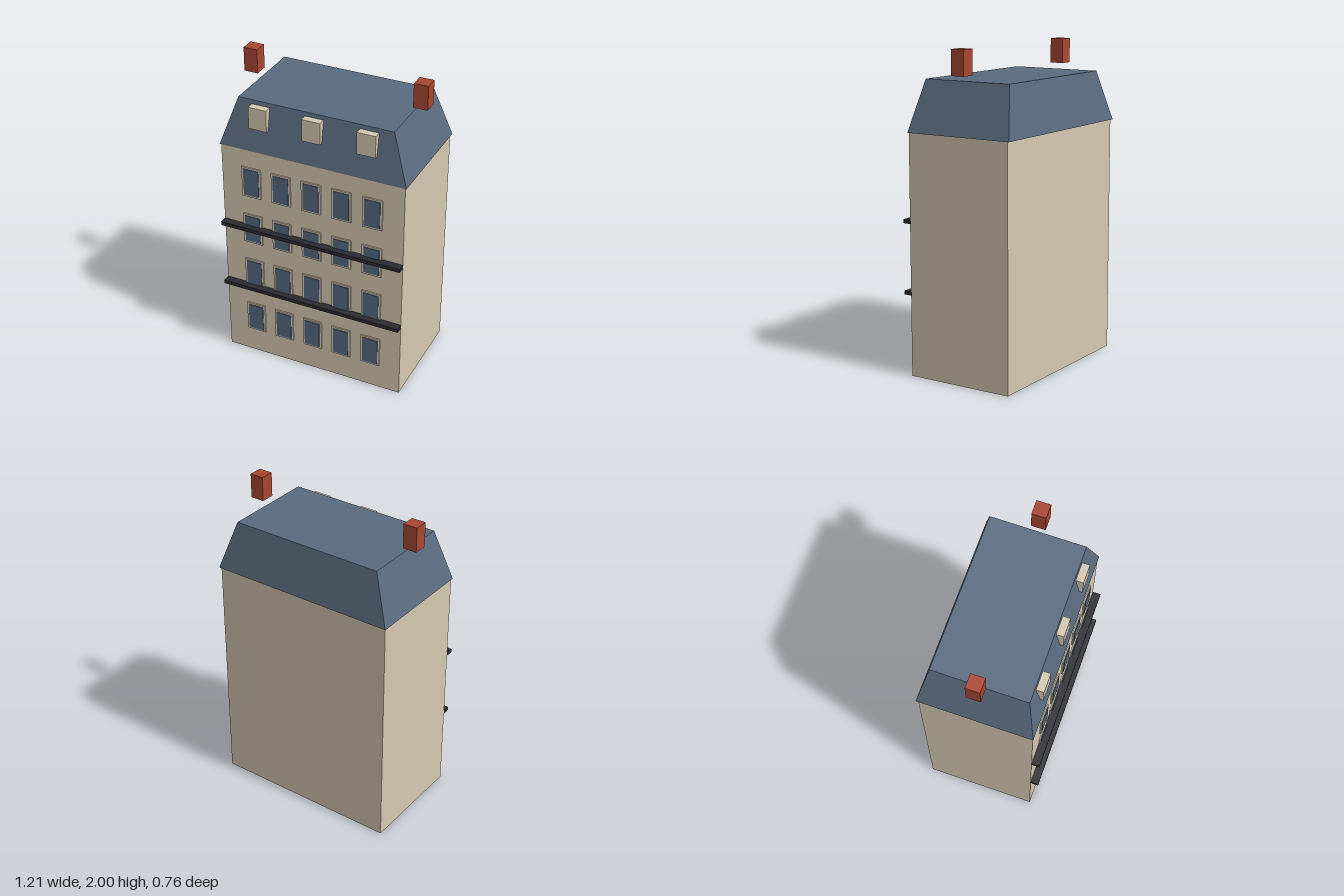
import * as THREE from 'three';

const material = (name, color) => {
  const m = new THREE.MeshStandardMaterial({ color });
  m.name = name;
  return m;
};

export function createModel() {
  const stone = material('stone', 0xd4c8b0);
  const slate = material('slate', 0x5a6b7f);
  const glass = material('glass', 0x546880);
  const brick = material('brick', 0xa84632);
  const iron = material('iron', 0x2b2a30);

  const model = new THREE.Group();
  model.name = 'townhouse';

  // Box given by its lower and upper limits on each axis
  const addBox = (name, mat, [x0, x1], [y0, y1], [z0, z1], parent = model) => {
    const mesh = new THREE.Mesh(new THREE.BoxGeometry(x1 - x0, y1 - y0, z1 - z0), mat);
    mesh.position.set((x0 + x1) / 2, (y0 + y1) / 2, (z0 + z1) / 2);
    mesh.name = name;
    parent.add(mesh);
    return mesh;
  };

  const wallZ = 0.329;
  addBox('walls', stone, [-0.597, 0.597], [0, 1.497], [-0.367, wallZ]);

  // Mansard roof: a box whose upper corners are drawn in
  const roof = addBox('mansardRoof', slate, [-0.605, 0.605], [1.497, 1.81], [-0.379, 0.334]);
  const corners = roof.geometry.attributes.position;
  for (let i = 0; i < corners.count; i++) {
    if (corners.getY(i) > 0) {
      corners.setX(i, Math.sign(corners.getX(i)) * 0.498);
      corners.setZ(i, (corners.getZ(i) > 0 ? 0.273 : -0.316) - roof.position.z);
    }
  }
  roof.geometry.computeVertexNormals();

  // Windows: raised stone surround with a thin pane on top
  for (const y of [0.272, 0.612, 0.945, 1.277]) {
    for (let column = -2; column <= 2; column++) {
      const x = column * 0.199;
      const group = new THREE.Group();
      group.name = 'window';
      addBox('windowSurround', stone, [x - 0.064, x + 0.064], [y - 0.102, y + 0.102], [wallZ - 0.01, 0.337], group);
      addBox('windowPane', glass, [x - 0.051, x + 0.051], [y - 0.09, y + 0.09], [0.335, 0.341], group);
      model.add(group);
    }
  }

  // Continuous balconies
  for (const y of [0.518, 0.959]) {
    addBox('balcony', iron, [-0.597, 0.597], [y - 0.012, y + 0.012], [wallZ - 0.005, 0.379]);
  }

  // Dormers on the front slope
  for (const x of [-0.348, 0, 0.348]) {
    addBox('dormer', stone, [x - 0.059, x + 0.059], [1.645, 1.785], [0.24, 0.325]);
  }

  // Chimneys
  for (const side of [-1, 1]) {
    const x = side * 0.548;
    addBox('chimney', brick, [x - 0.045, x + 0.045], [1.846, 2], [-0.066, 0.022]);
  }

  return model;
}
